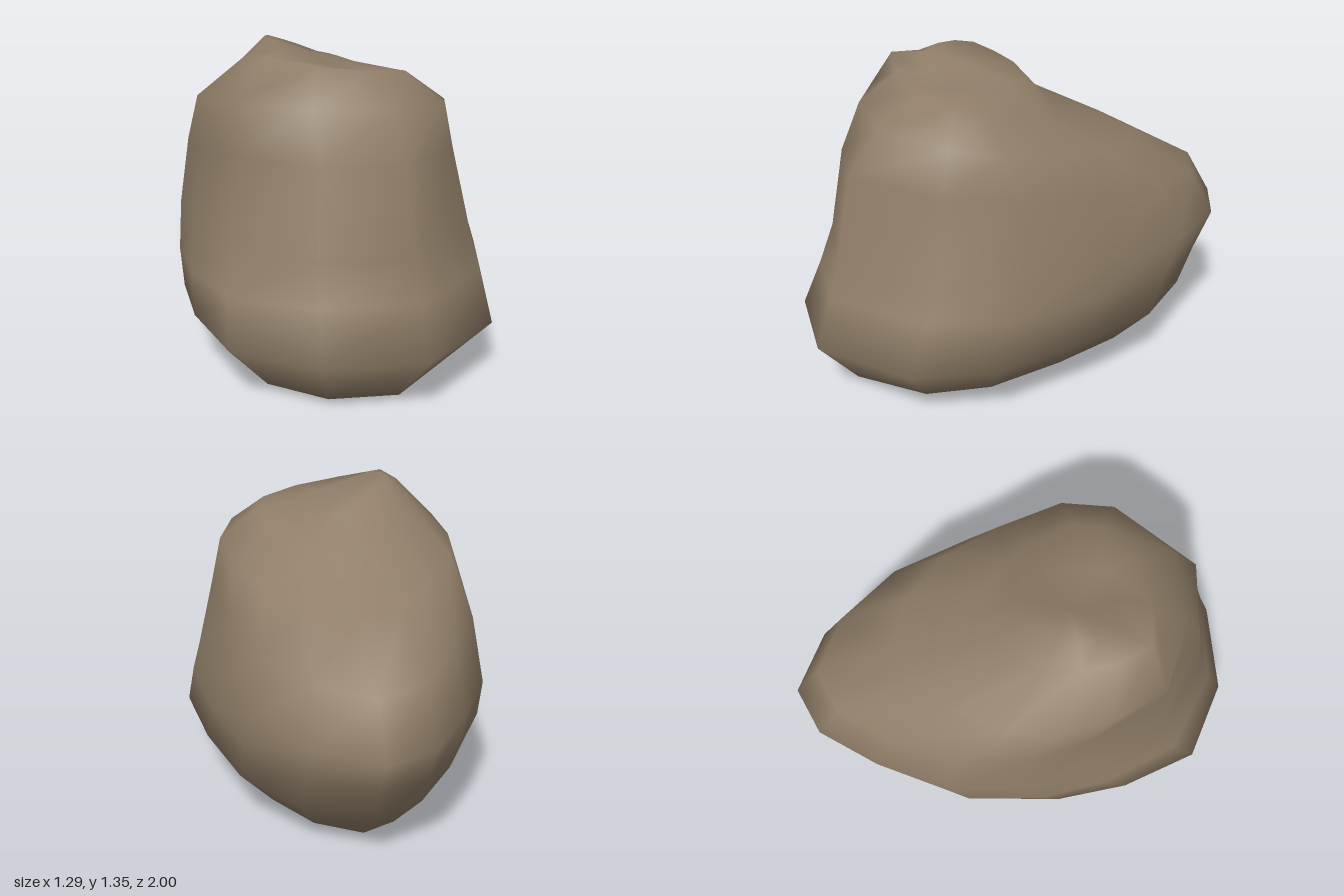
import * as THREE from 'three';

// Plan outline: [share of half width, 0 at the back to 1 at the front], back tip first
const OUTLINE = [
  [-0.04, 0], [0.38, 0.075], [0.71, 0.225], [0.89, 0.435], [1, 0.665],
  [0.86, 0.845], [0.32, 1], [-0.31, 0.985], [-0.81, 0.877], [-0.97, 0.69],
  [-1, 0.515], [-0.92, 0.335], [-0.66, 0.175], [-0.37, 0.045],
];

// Tilted rings from the base up. front and back are [z, y]; lift raises the -x side;
// cut trims the front corners on the -x and +x sides
const RINGS = [
  { left: 0.43, right: 0.45, front: [0.83, 0.03], back: [-0.65, 0.05], lift: 0, cut: [0, 0] },
  { left: 0.63, right: 0.65, front: [1.0, 0.25], back: [-0.82, 0.22], lift: 0.03, cut: [0, 0] },
  { left: 0.65, right: 0.63, front: [0.94, 0.46], back: [-0.9, 0.38], lift: -0.05, cut: [0.09, 0.04] },
  { left: 0.64, right: 0.6, front: [0.9, 0.62], back: [-1.0, 0.54], lift: 0, cut: [0.16, 0.06] },
  { left: 0.6, right: 0.54, front: [0.84, 0.96], back: [-0.87, 0.75], lift: 0.03, cut: [0.18, 0.1] },
  { left: 0.54, right: 0.48, front: [0.69, 1.14], back: [-0.53, 0.93], lift: 0.1, cut: [0, 0.03] },
  { left: 0.34, right: 0.3, front: [0.5, 1.25], back: [-0.15, 1.09], lift: 0.28, cut: [-0.1, 0] },
  { left: 0.27, right: 0.08, front: [0.42, 1.235], back: [-0.02, 1.23], lift: 0.43, cut: [0, 0] },
];
const BASE = [0, 0, 0];
const CROWN = [-0.1, 1.28, 0.2];

function boulderGeometry() {
  const n = OUTLINE.length;
  const positions = [];
  const index = [];
  for (const { left, right, front, back, lift, cut } of RINGS) {
    for (const [u, t] of OUTLINE) {
      const trim = cut[u < 0 ? 0 : 1] * Math.abs(u) * t * t;
      const x = u * (u < 0 ? left : right) - Math.sign(u) * trim * 0.5;
      const z = THREE.MathUtils.lerp(back[0], front[0], t) - trim;
      const y = THREE.MathUtils.lerp(back[1], front[1], t) + lift * Math.max(0, -x);
      positions.push(x, y, z);
    }
  }
  positions.push(...BASE, ...CROWN);
  const base = RINGS.length * n;
  const crown = base + 1;
  const top = base - n;

  for (let i = 0; i < n; i++) {
    const j = (i + 1) % n;
    // Sides
    for (let k = 0; k < RINGS.length - 1; k++) {
      const a = k * n + i, b = k * n + j;
      index.push(a, a + n, b, b, a + n, b + n);
    }
    // Underside and crown
    index.push(base, i, j, crown, top + j, top + i);
  }

  const geometry = new THREE.BufferGeometry();
  geometry.setAttribute('position', new THREE.Float32BufferAttribute(positions, 3));
  geometry.setIndex(index);
  geometry.computeVertexNormals();
  return geometry;
}

export function createModel() {
  const stone = new THREE.MeshStandardMaterial({ color: 0x8f7d67 });
  stone.name = 'brown stone';
  const boulder = new THREE.Mesh(boulderGeometry(), stone);
  boulder.name = 'boulder';
  const group = new THREE.Group();
  group.name = 'rock';
  group.add(boulder);
  return group;
}
